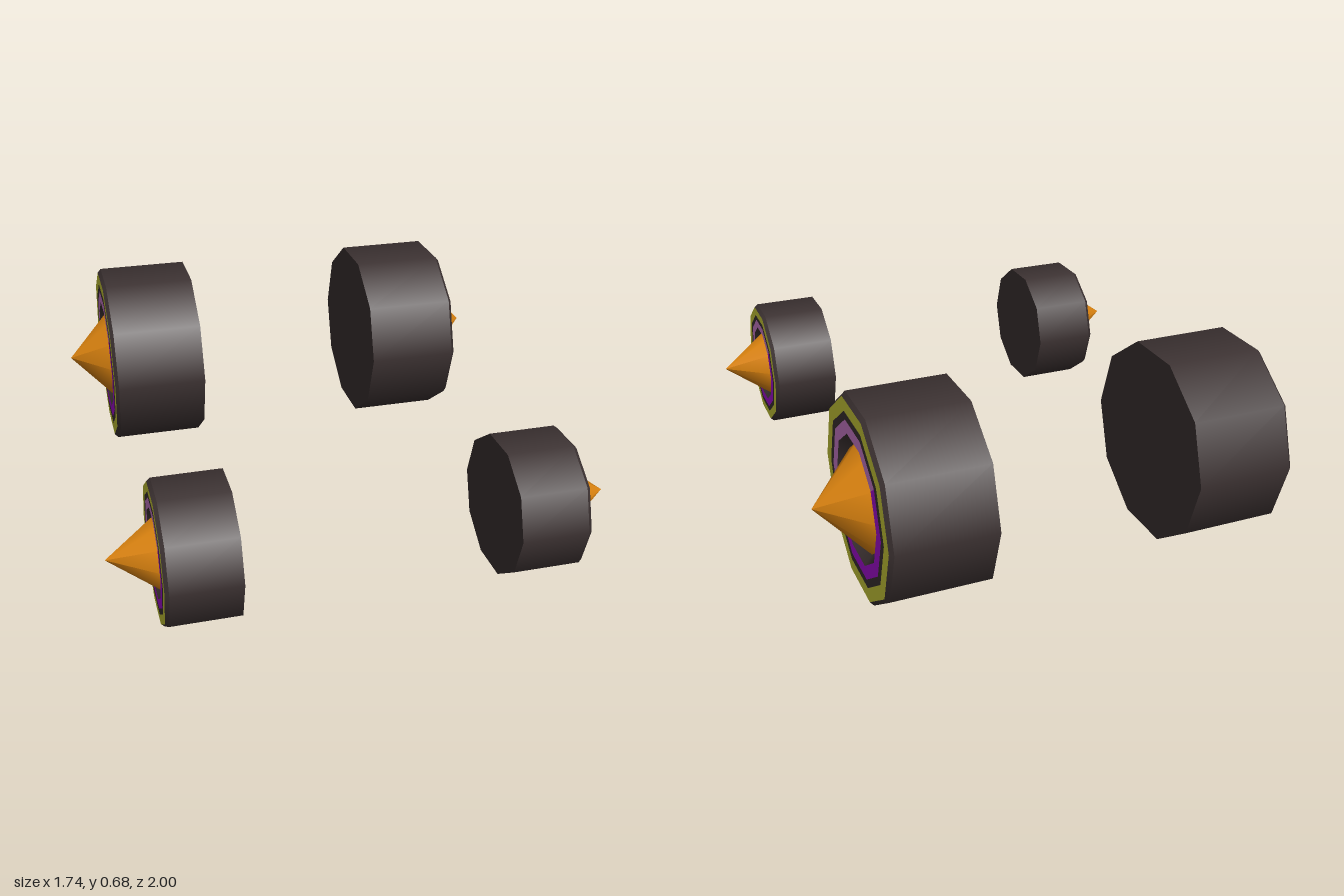
import * as THREE from 'three';

const SIDES = 10;
const paint = (name, color) => {
  const m = new THREE.MeshStandardMaterial({ color });
  m.name = name;
  return m;
};

export function createModel() {
  const rubber = paint('dark rubber', 0x3b3131);
  const yellow = paint('yellow', 0xcccc38);
  const pink = paint('pink', 0xcc7ccc);
  const purple = paint('purple', 0xa60dd6);
  const orange = paint('orange', 0xe08610);

  // One turned band; profile points are [radius, x], from the inner side outwards
  function band(name, material, points, start = 0, sides = SIDES) {
    const step = (Math.PI * 2) / SIDES;
    const geometry = new THREE.LatheGeometry(
      points.map(([r, x]) => new THREE.Vector2(r, x)), sides, start * step, sides * step);
    geometry.rotateZ(-Math.PI / 2);
    const mesh = new THREE.Mesh(geometry, material);
    mesh.name = name;
    return mesh;
  }

  // Ten-sided wheel facing +x, with painted rings and a pointed hub
  function wheel({ name, radius: R, inner, face, tip }) {
    const g = new THREE.Group();
    g.name = name;
    const bevel = 0.013;
    const [y0, y1, p0, p1, hub] = [0.96, 0.825, 0.745, 0.615, 0.525].map((k) => k * R);
    const floor = face - 0.08 * R;
    g.add(
      band('innerCap', rubber, [[0, inner], [R, inner]]),
      band('tread', rubber, [[R, inner], [R, face - bevel]]),
      band('treadBevel', rubber, [[R, face - bevel], [y0, face]]),
      band('yellowRing', yellow, [[y0, face], [y1, face]]),
      band('sidewall', rubber, [[y1, face], [p0, face]]),
      // The ring is pink on one half and purple on the other
      band('pinkHalfRing', pink, [[p0, face], [p1, face]], 6, 5),
      band('purpleHalfRing', purple, [[p0, face], [p1, face]], 1, 5),
      band('hubRecess', rubber, [[p1, face], [hub, floor]]),
      band('hubSpike', orange, [[hub, floor], [0, tip]]),
    );
    return g;
  }

  const model = new THREE.Group();
  model.name = 'wheelSet';
  const axles = [
    { name: 'front', radius: 0.25, inner: 0.465, face: 0.715, tip: 0.872, y: 0.247, z: 0.75 },
    { name: 'rear', radius: 0.358, inner: 0.355, face: 0.713, tip: 0.86, y: 0.342, z: -0.642 },
  ];
  for (const axle of axles) {
    for (const side of ['Left', 'Right']) {
      const w = wheel({ ...axle, name: `${axle.name}${side}Wheel` });
      w.position.set(0, axle.y, axle.z);
      if (side === 'Right') w.rotation.y = Math.PI;
      model.add(w);
    }
  }
  return model;
}
